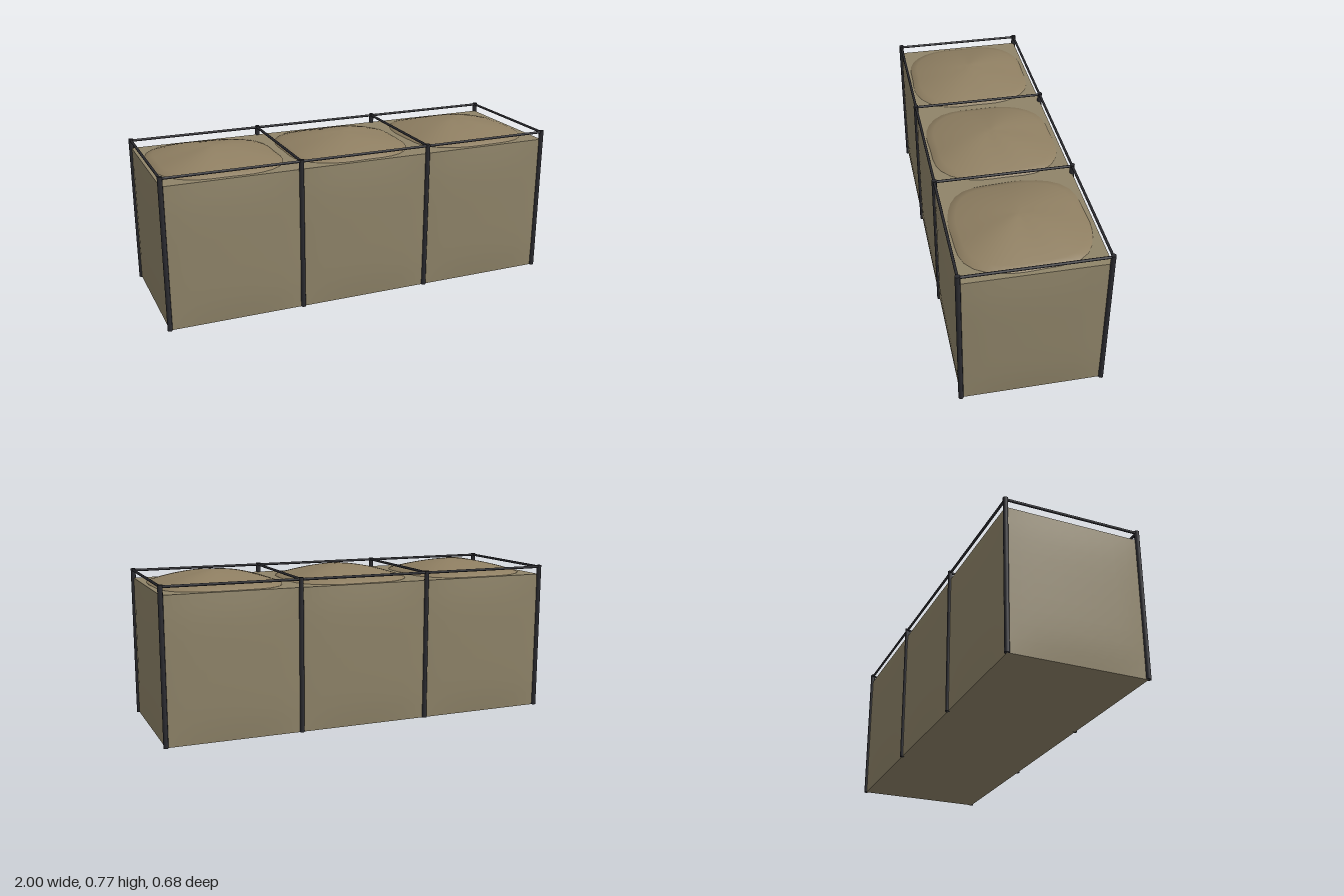
import * as THREE from 'three';

const fabric = new THREE.MeshStandardMaterial({ name: 'tan fabric', color: 0x8f8469 });
const earth = new THREE.MeshStandardMaterial({ name: 'packed earth', color: 0x8f7f62 });
const steel = new THREE.MeshStandardMaterial({ name: 'dark steel', color: 0x2b2b30 });

const PITCH = 0.6587, HALF = PITCH / 2, TOP = 0.7, RAIL_Y = 0.738, POST_H = 0.747;
const postXs = [-1.5, -0.5, 0.5, 1.5].map(i => i * PITCH);

function add(parent, name, geometry, material, x = 0, y = 0, z = 0) {
  const mesh = new THREE.Mesh(geometry, material);
  mesh.name = name;
  mesh.position.set(x, y, z);
  parent.add(mesh);
  return mesh;
}

// Filled cell whose outward walls swell slightly between the posts
function cellGeometry(bulgeLeft, bulgeRight) {
  const geo = new THREE.BoxGeometry(PITCH, TOP, HALF * 2, 10, 10, 10);
  const p = geo.attributes.position;
  for (let i = 0; i < p.count; i++) {
    const x = p.getX(i), y = p.getY(i), z = p.getZ(i);
    const swell = t => 0.011 * Math.sqrt(Math.max(0, Math.cos(t * Math.PI)));
    const rise = Math.max(0, 1 - (2 * y / TOP) ** 4);
    if (Math.abs(z) > HALF - 1e-4) p.setZ(i, z + Math.sign(z) * swell(x / PITCH) * rise);
    const sideOpen = x > 0 ? bulgeLeft : bulgeRight;
    if (sideOpen && Math.abs(x) > HALF - 1e-4) p.setX(i, x + Math.sign(x) * swell(z / PITCH) * rise);
  }
  geo.computeVertexNormals();
  return geo;
}

// Low mound with a rounded-square, uneven outline
function moundGeometry(seed) {
  const rings = 9, sides = 40, pos = [], idx = [];
  for (let r = 0; r <= rings; r++) {
    const t = r / rings;
    for (let s = 0; s <= sides; s++) {
      const a = s / sides * Math.PI * 2, c = Math.cos(a), d = Math.sin(a);
      const edge = 0.312 / Math.pow(Math.abs(c) ** 3.2 + Math.abs(d) ** 3.2, 1 / 3.2);
      const ripple = 1 - 0.015 * t * (1 + Math.sin(a * 5 + seed * 2.1) * Math.cos(a * 3 - seed));
      const lump = 0.002 * t * (1 - t) * 4 * Math.sin(a * 3 + seed * 1.7);
      pos.push(c * edge * t * ripple, 0.003 + 0.064 * (1 - t ** 1.6) + lump, d * edge * t * ripple);
    }
  }
  // Short skirt down into the cell
  for (let s = 0; s <= sides; s++) {
    const k = (rings * (sides + 1) + s) * 3;
    pos.push(pos[k], -0.01, pos[k + 2]);
  }
  for (let r = 0; r <= rings; r++) for (let s = 0; s < sides; s++) {
    const a = r * (sides + 1) + s, b = a + sides + 1;
    if (r > 0) idx.push(a, a + 1, b);
    idx.push(a + 1, b + 1, b);
  }
  const geo = new THREE.BufferGeometry();
  geo.setAttribute('position', new THREE.Float32BufferAttribute(pos, 3));
  geo.setIndex(idx);
  geo.computeVertexNormals();
  // Centre and seam normals
  const n = geo.attributes.normal;
  for (let s = 0; s <= sides; s++) n.setXYZ(s, 0, 1, 0);
  for (let r = 1; r <= rings + 1; r++) {
    const a = r * (sides + 1), b = a + sides;
    const v = new THREE.Vector3(n.getX(a) + n.getX(b), n.getY(a) + n.getY(b), n.getZ(a) + n.getZ(b)).normalize();
    n.setXYZ(a, v.x, v.y, v.z);
    n.setXYZ(b, v.x, v.y, v.z);
  }
  return geo;
}

export function createModel() {
  const model = new THREE.Group();
  model.name = 'earthBarrier';

  // Three earth-filled fabric cells
  for (let i = -1; i <= 1; i++) {
    const cell = new THREE.Group();
    cell.name = 'cell';
    cell.position.x = i * PITCH;
    add(cell, 'fabricWalls', cellGeometry(i === 1, i === -1), fabric, 0, TOP / 2, 0);
    add(cell, 'earthMound', moundGeometry(i + 2), earth, 0, TOP, 0);
    model.add(cell);
  }

  // Corner and divider posts
  const post = new THREE.CylinderGeometry(0.012, 0.012, POST_H, 8);
  for (const x of postXs) for (const z of [-HALF, HALF]) add(model, 'post', post, steel, x, POST_H / 2, z);

  // Long rails along the front and back
  const longRail = new THREE.CylinderGeometry(0.0065, 0.0065, PITCH * 3, 8).rotateZ(Math.PI / 2);
  for (const z of [-HALF, HALF]) add(model, 'longRail', longRail, steel, 0, RAIL_Y, z);

  // Cross rails over each divider and end
  const crossRail = new THREE.CylinderGeometry(0.0065, 0.0065, HALF * 2, 8).rotateX(Math.PI / 2);
  for (const x of postXs) add(model, 'crossRail', crossRail, steel, x, RAIL_Y, 0);
  return model;
}
